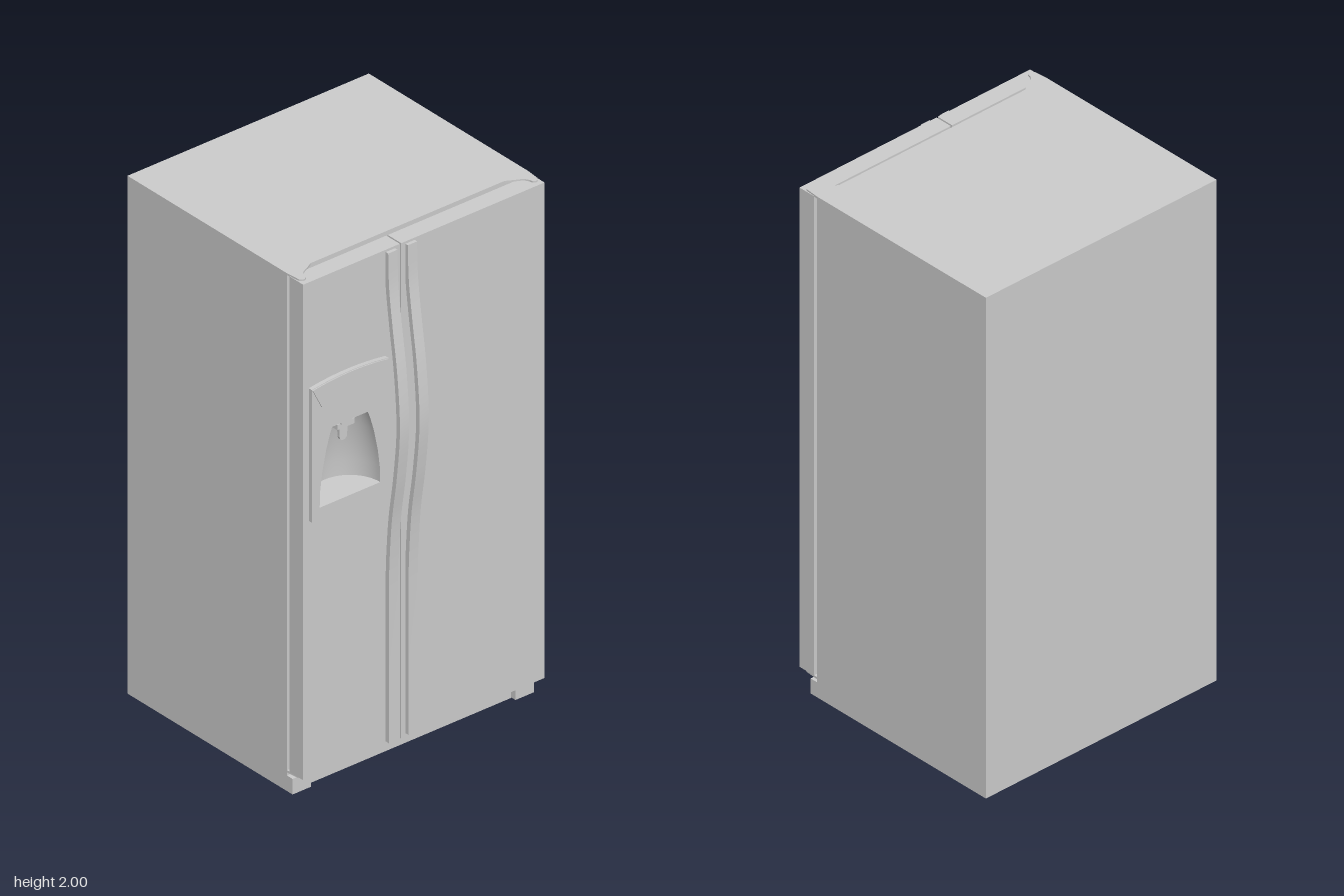
import * as THREE from 'three';
import { toCreasedNormals } from 'three/addons/utils/BufferGeometryUtils.js';

const grey = new THREE.MeshStandardMaterial({ color: 0xcccccc, side: THREE.DoubleSide });

// dispenser niche: half-width at each height, around its own centre line
const nicheX = -0.333;
const niche = [[0.131, 1.118], [0.129, 1.18], [0.12, 1.25], [0.103, 1.33], [0.087, 1.385], [0.077, 1.41]];

export function createModel() {
  const model = new THREE.Group();

  const add = (name, geometry) => {
    const mesh = new THREE.Mesh(geometry, grey);
    mesh.name = name;
    model.add(mesh);
    return mesh;
  };
  const box = (name, x0, x1, y0, y1, z0, z1) => add(name,
    new THREE.BoxGeometry(x1 - x0, y1 - y0, z1 - z0)
      .translate((x0 + x1) / 2, (y0 + y1) / 2, (z0 + z1) / 2));
  const slab = (name, shape, z0, z1) => add(name,
    new THREE.ExtrudeGeometry(shape, { depth: z1 - z0, bevelEnabled: false, curveSegments: 16 })
      .translate(0, 0, z0));
  const polygon = (points) => new THREE.Shape(points.map(([x, y]) => new THREE.Vector2(x, y)));
  const rect = (x0, x1, y0, y1) => polygon([[x0, y0], [x1, y0], [x1, y1], [x0, y1]]);

  // cuts the niche opening, enlarged by a margin, into a shape
  const cutNiche = (shape, m) => {
    const last = niche.length - 1;
    const side = niche.map(([w, y], i) => [w + m, y + (i === 0 ? -m : i === last ? m : 0)]);
    const left = side.map(([w, y]) => [nicheX - w, y]);
    const right = side.map(([w, y]) => [nicheX + w, y]).reverse();
    shape.holes.push(polygon([...left, ...right]));
    return shape;
  };

  // cabinet, with room at the front for the niche
  box('cabinet', -0.522, 0.522, 0, 2, -0.493, 0.28);
  slab('cabinetFront', cutNiche(rect(-0.522, 0.522, 0, 2), 0.008), 0.28, 0.335);

  // door seals, set in from the door edges
  slab('freezerSeal', cutNiche(rect(-0.49, -0.135, 0.12, 1.965), 0.008), 0.335, 0.352);
  box('fridgeSeal', -0.065, 0.49, 0.12, 1.965, 0.335, 0.352);

  // doors
  slab('freezerDoor', cutNiche(rect(-0.522, -0.104, 0.08, 1.994), 0.008), 0.35, 0.42);
  box('fridgeDoor', -0.098, 0.522, 0.08, 1.994, 0.35, 0.42);

  // base grille and front feet
  box('baseGrille', -0.44, 0.44, 0, 0.07, 0.335, 0.345);
  for (const s of [-1, 1]) {
    const foot = box('foot', -0.04, 0.04, 0, 0.06, 0.335, 0.365);
    foot.position.x = s * 0.482;
  }

  // thin curved hinge plates above and below each door
  for (const s of [-1, 1]) {
    const plate = new THREE.Shape();
    plate.moveTo(s * 0.522, 0.335);
    plate.lineTo(s * 0.517, 0.39);
    plate.quadraticCurveTo(s * 0.505, 0.41, s * 0.49, 0.395);
    plate.quadraticCurveTo(s * 0.488, 0.365, s * 0.45, 0.352);
    plate.lineTo(s * 0.42, 0.335);
    for (const y of [2, 0.08]) {
      add('hingePlate', new THREE.ExtrudeGeometry(plate, { depth: 0.008, bevelEnabled: false })
        .rotateX(Math.PI / 2).translate(0, y, 0));
    }
  }

  // bowed handles: side profile of (z, y) swept across the width
  const outer = new THREE.SplineCurve([
    [0.436, 0.7], [0.441, 0.82], [0.453, 0.97], [0.478, 1.14], [0.494, 1.33],
    [0.481, 1.53], [0.457, 1.7], [0.438, 1.85], [0.433, 1.985],
  ].map(([z, y]) => new THREE.Vector2(z, y))).getPoints(40);
  const inner = outer.map((p) => new THREE.Vector2(Math.max(0.42, p.x - 0.018), p.y)).reverse();
  const profile = new THREE.Shape([
    new THREE.Vector2(0.42, 0.095), new THREE.Vector2(0.436, 0.095), ...outer,
    new THREE.Vector2(0.42, 1.985), ...inner,
  ]);
  for (const [name, x] of [['freezerHandle', -0.125], ['fridgeHandle', -0.04]]) {
    const bar = new THREE.ExtrudeGeometry(profile, { depth: 0.04, bevelEnabled: false });
    add(name, toCreasedNormals(bar.rotateY(-Math.PI / 2).translate(x, 0, 0), 0.5));
  }

  // dispenser surround with arched top and bottom
  const surround = new THREE.Shape();
  surround.moveTo(-0.498, 1.073);
  surround.quadraticCurveTo(nicheX, 1.043, -0.167, 1.073);
  surround.lineTo(-0.167, 1.585);
  surround.quadraticCurveTo(nicheX, 1.611, -0.498, 1.585);
  slab('dispenserSurround', cutNiche(surround, 0), 0.42, 0.436);

  // control panel above the niche
  const panel = new THREE.Shape();
  panel.moveTo(-0.457, 1.505);
  panel.quadraticCurveTo(nicheX, 1.513, -0.209, 1.505);
  panel.lineTo(-0.169, 1.583);
  panel.quadraticCurveTo(nicheX, 1.609, -0.496, 1.583);
  slab('controlPanel', panel, 0.436, 0.44);

  // niche: half a bell with floor and ceiling
  const bell = [[0, niche[0][1]], ...niche, [0, 1.41]].map(([r, y]) => new THREE.Vector2(r, y));
  add('dispenserNiche', toCreasedNormals(
    new THREE.LatheGeometry(bell, 32, Math.PI / 2, Math.PI), 0.6).translate(nicheX, 0, 0.436));

  // spout and rounded paddle
  box('spoutMount', nicheX - 0.024, nicheX + 0.024, 1.39, 1.41, 0.375, 0.42);
  box('spout', nicheX - 0.037, nicheX + 0.037, 1.372, 1.392, 0.38, 0.415);
  const paddle = new THREE.Shape();
  paddle.moveTo(nicheX - 0.018, 1.372);
  paddle.lineTo(nicheX - 0.016, 1.336);
  paddle.absarc(nicheX, 1.332, 0.016, Math.PI, Math.PI * 2, false);
  paddle.lineTo(nicheX + 0.018, 1.372);
  slab('paddle', paddle, 0.39, 0.402);

  return model;
}
